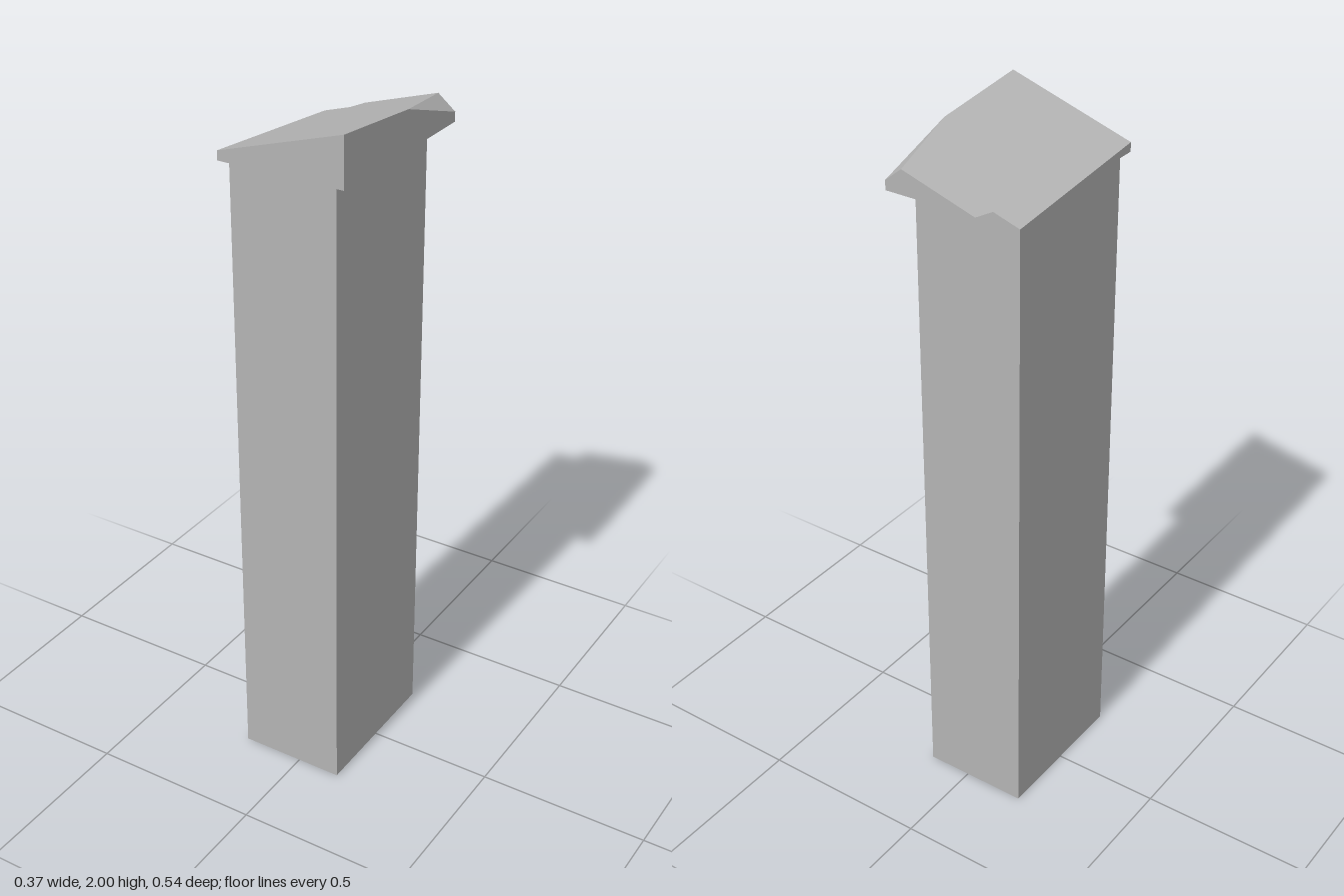
import * as THREE from 'three';
import { ConvexGeometry } from 'three/addons/geometries/ConvexGeometry.js';

const LEFT = -0.183, RIGHT = 0.183;   // cap sides; the shaft is flush with LEFT
const CAP_Z = 0.272, SHAFT_Z = 0.222, SHAFT_X = 0.13;
const EAVE = 1.86;                    // underside of the cap

// Tilted roof plane: highest at the right front corner
const SX = 0.311, SZ = 0.1027;
const roofY = (x, z) => 2 - SX * (RIGHT - x) - SZ * (CAP_Z - z);
const onRoof = (x, z) => new THREE.Vector3(x, roofY(x, z), z);
const at = (x, y, z) => new THREE.Vector3(x, y, z);

// Points where the roof plane runs down to the eave height
const eaveAtZ = (z) => at(RIGHT - (2 - EAVE - SZ * (CAP_Z - z)) / SX, EAVE, z);
const eaveAtX = (x) => at(x, EAVE, CAP_Z - (2 - EAVE - SX * (RIGHT - x)) / SZ);

export function createModel() {
  const group = new THREE.Group();
  const stone = new THREE.MeshStandardMaterial({ color: 0xb4b4b4 });
  stone.name = 'grey stone';

  const add = (name, points) => {
    const mesh = new THREE.Mesh(new ConvexGeometry(points), stone);
    mesh.name = name;
    group.add(mesh);
  };

  // Rectangular shaft, its back right-hand top corner trimmed by the roof plane
  add('shaft', [
    at(LEFT, 0, -SHAFT_Z), at(SHAFT_X, 0, -SHAFT_Z),
    at(LEFT, 0, SHAFT_Z), at(SHAFT_X, 0, SHAFT_Z),
    at(LEFT, EAVE, SHAFT_Z), at(SHAFT_X, EAVE, SHAFT_Z), at(SHAFT_X, EAVE, -SHAFT_Z),
    eaveAtX(LEFT), eaveAtZ(-SHAFT_Z), onRoof(LEFT, -SHAFT_Z),
  ]);

  // Sloping cap with one chamfered back corner
  add('cap', [
    at(LEFT, EAVE, CAP_Z), at(RIGHT, EAVE, CAP_Z), at(RIGHT, EAVE, -CAP_Z),
    eaveAtZ(-CAP_Z), eaveAtX(LEFT),
    onRoof(LEFT, CAP_Z), onRoof(RIGHT, CAP_Z),
    onRoof(RIGHT, -0.028), onRoof(0.132, -CAP_Z), at(RIGHT, 1.887, -CAP_Z),
  ]);

  return group;
}
